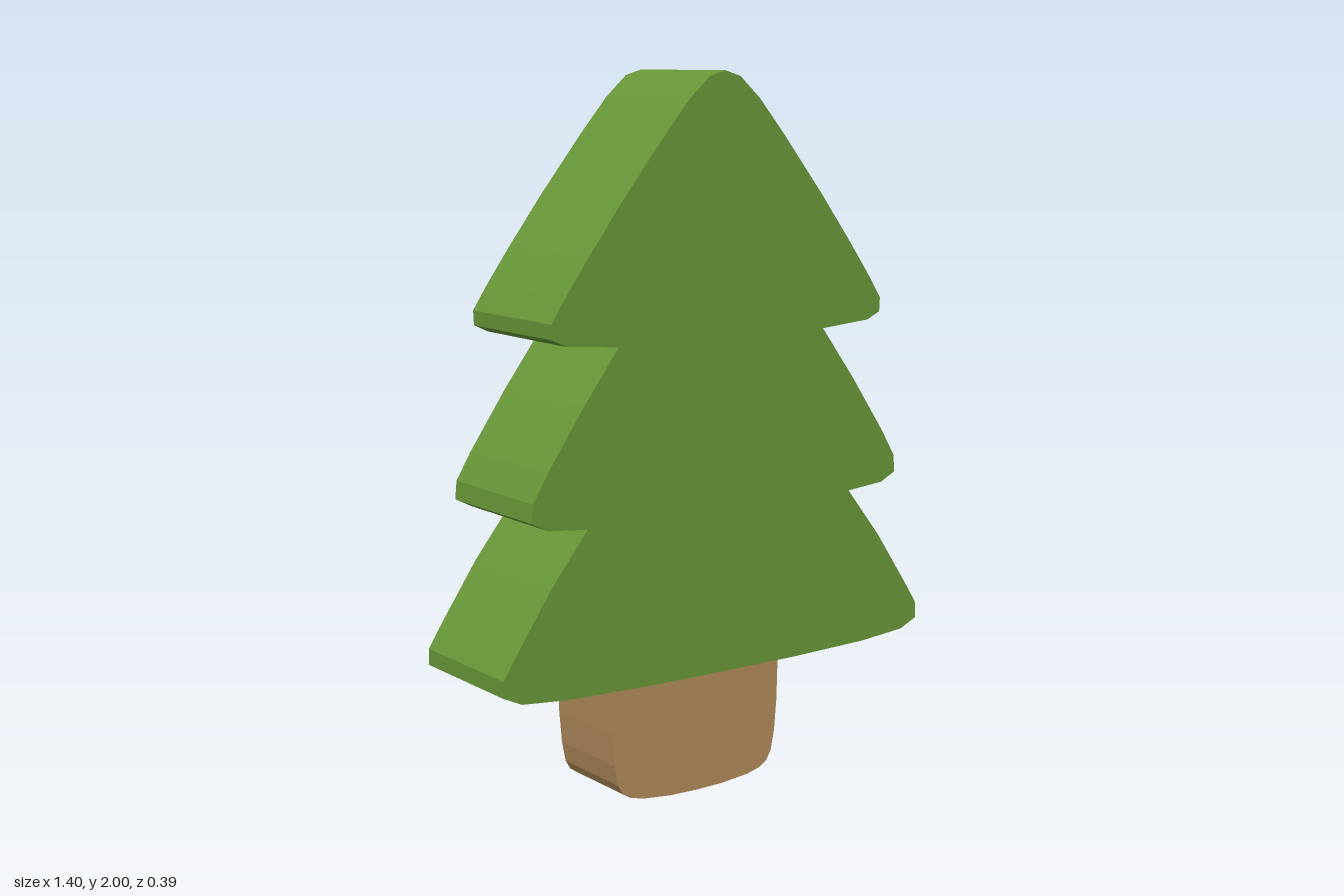
import * as THREE from 'three';

const leafGreen = new THREE.MeshStandardMaterial({ color: 0x689738 });
leafGreen.name = 'leafGreen';
const barkBrown = new THREE.MeshStandardMaterial({ color: 0xaf895a });
barkBrown.name = 'barkBrown';

// Mirrors a right-hand outline (top to bottom) across x = 0 and extrudes it from zBack to zFront.
function mirroredSlab(name, half, zBack, zFront, material) {
  const left = half.filter(([x]) => x > 0).map(([x, y]) => [-x, y]).reverse();
  const shape = new THREE.Shape([...half, ...left].map(([x, y]) => new THREE.Vector2(x, y)));
  const geometry = new THREE.ExtrudeGeometry(shape, { depth: zFront - zBack, bevelEnabled: false });
  geometry.translate(0, 0, zBack);
  const mesh = new THREE.Mesh(geometry, material);
  mesh.name = name;
  return mesh;
}

export function createModel() {
  const tree = new THREE.Group();
  tree.name = 'tree';

  // Three-tiered foliage with softly blunted tips
  const foliage = [
    [0, 2], [0.05, 1.985], [0.115, 1.927], [0.2, 1.828], [0.33, 1.667], [0.43, 1.535], [0.5, 1.438],
    [0.545, 1.37], [0.543, 1.33], [0.5, 1.31], [0.34, 1.297],
    [0.45, 1.15], [0.56, 0.99], [0.605, 0.915], [0.61, 0.865], [0.56, 0.84], [0.44, 0.829],
    [0.55, 0.69], [0.655, 0.535], [0.7, 0.465], [0.7, 0.42], [0.645, 0.395], [0.5, 0.382], [0.25, 0.376], [0, 0.375],
  ];
  tree.add(mirroredSlab('foliage', foliage, -0.193, 0.195, leafGreen));

  // Trunk: rounded block whose upper half overlaps the back of the foliage
  const middle = 0.325;
  const corner = [
    [0, 0.322], [0.09, 0.32], [0.18, 0.311], [0.225, 0.3], [0.25, 0.283],
    [0.265, 0.258], [0.277, 0.2], [0.285, 0.11], [0.288, 0],
  ];
  const upper = corner.map(([x, y]) => [x, middle + y]);
  const lower = corner.slice(0, -1).reverse().map(([x, y]) => [x, middle - y * (middle / 0.322)]);
  tree.add(mirroredSlab('trunk', [...upper, ...lower], -0.196, 0.07, barkBrown));

  return tree;
}
